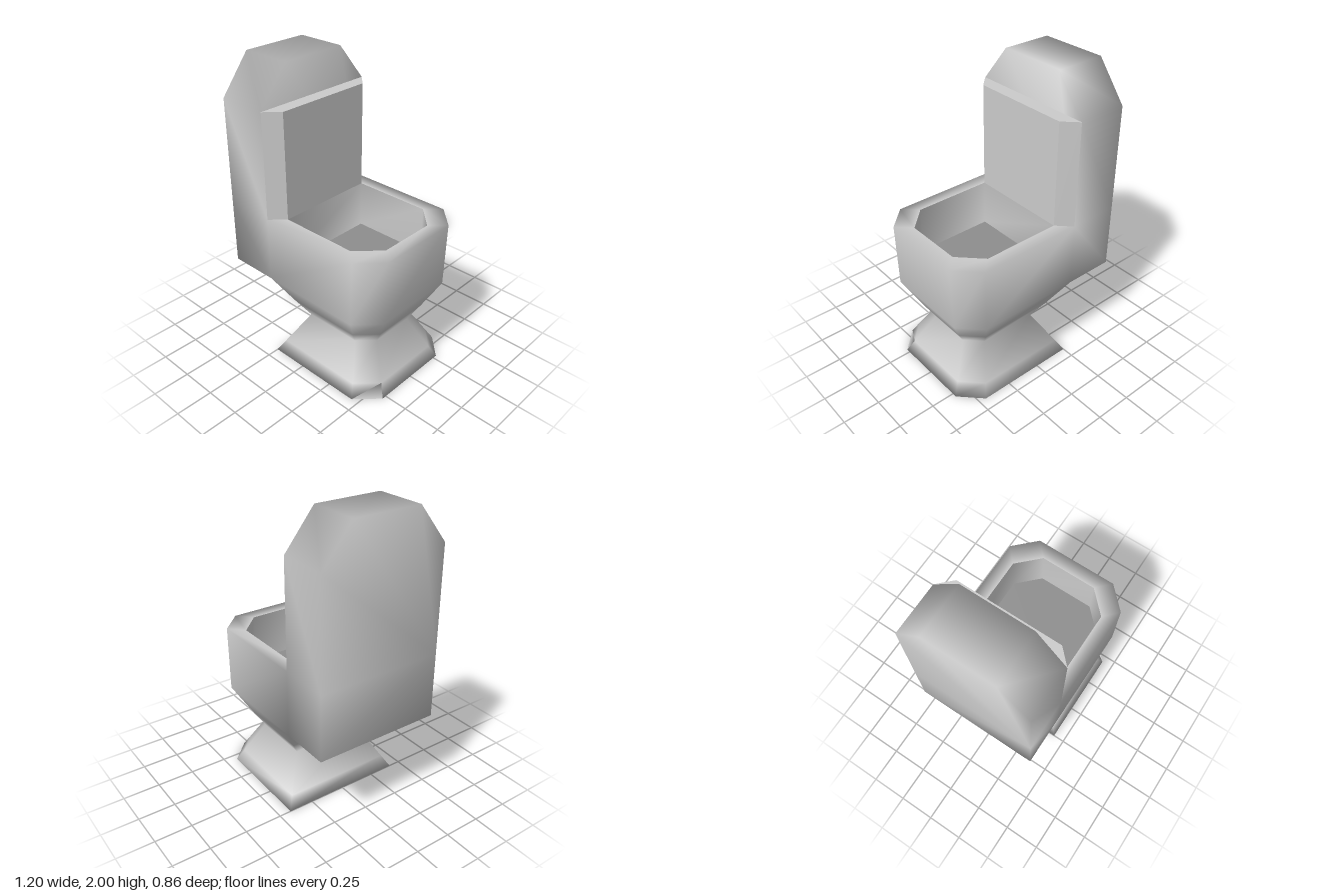
import * as THREE from 'three';
import { mergeVertices } from 'three/addons/utils/BufferGeometryUtils.js';

// Horizontal outline: square at the back, cut corners at the front (+x)
function ring(y, x0, x1, z, cut) {
  return [[x0, y, z], [x1 - cut, y, z], [x1, y, z - cut],
    [x1, y, cut - z], [x1 - cut, y, -z], [x0, y, -z]];
}

// Collects faces of a surface; corners run counter-clockwise from outside
class Surface {
  constructor() { this.pos = []; }
  cap(points) {
    for (let i = 1; i < points.length - 1; i++) {
      this.pos.push(...points[0], ...points[i], ...points[i + 1]);
    }
  }
  strip(a, b, skip = -1) {
    a.forEach((p, i) => {
      const j = (i + 1) % a.length;
      if (i !== skip) this.cap([p, a[j], b[j], b[i]]);
    });
  }
  mesh(name, smooth, color = 0xcccccc) {
    let geo = new THREE.BufferGeometry();
    geo.setAttribute('position', new THREE.Float32BufferAttribute(this.pos, 3));
    if (smooth) geo = mergeVertices(geo, 1e-4);
    geo.computeVertexNormals();
    const mat = new THREE.MeshStandardMaterial({ color, side: THREE.DoubleSide });
    const m = new THREE.Mesh(geo, mat);
    m.name = name;
    return m;
  }
}

export function createModel() {
  const group = new THREE.Group();
  const BACK = 5; // index of the rear side of a ring

  // Pedestal, bowl and rim as stacked outlines
  const rings = [
    ring(0, -0.25, 0.59, 0.42, 0.14),
    ring(0.08, -0.205, 0.545, 0.375, 0.13),
    ring(0.3, -0.08, 0.42, 0.25, 0.1),
    ring(0.42, -0.155, 0.49, 0.325, 0.12),
    ring(0.6, -0.26, 0.585, 0.43, 0.14),
    ring(1.04, -0.26, 0.6, 0.43, 0.145),
  ];
  const inner = ring(1.04, -0.17, 0.505, 0.34, 0.145);
  const floor = ring(0.72, -0.17, 0.505, 0.34, 0.145);

  const body = new Surface();
  body.cap([...rings[0]].reverse());
  for (let i = 0; i < rings.length - 1; i++) {
    // the rear of the bowl is open where it joins the tank
    body.strip(rings[i], rings[i + 1], i === 4 ? BACK : -1);
  }
  body.strip(rings[5], inner, BACK);

  // Tank, joined to the bowl in one smooth skin
  const section = [[0.6, 0.43], [0.6, -0.43], [1.04, -0.43], [1.75, -0.43],
    [2, -0.23], [2, 0.23], [1.75, 0.43], [1.04, 0.43]];
  const at = (x) => section.map(([y, z]) => [x, y, z]);
  const tankBack = at(-0.6), tankFront = at(-0.26);
  body.strip(tankBack, tankFront);
  body.cap([...tankBack].reverse());
  body.cap(tankFront.slice(2));
  group.add(body.mesh('bowlAndTank', true));

  // Inside of the bowl
  const well = new Surface();
  well.strip(inner, floor);
  group.add(well.mesh('bowlInside', true));
  const water = new Surface();
  water.cap(floor);
  group.add(water.mesh('bowlFloor', false, 0x8e8e8e));

  // Raised lid against the tank, with bevelled sides
  const lidAt = (y) => [[-0.26, y, 0.43], [-0.17, y, 0.34], [-0.17, y, -0.34], [-0.26, y, -0.43]];
  const lid = new Surface();
  lid.strip(lidAt(1.04), lidAt(1.75), 3);
  lid.cap(lidAt(1.75));
  group.add(lid.mesh('lid', false));

  return group;
}
